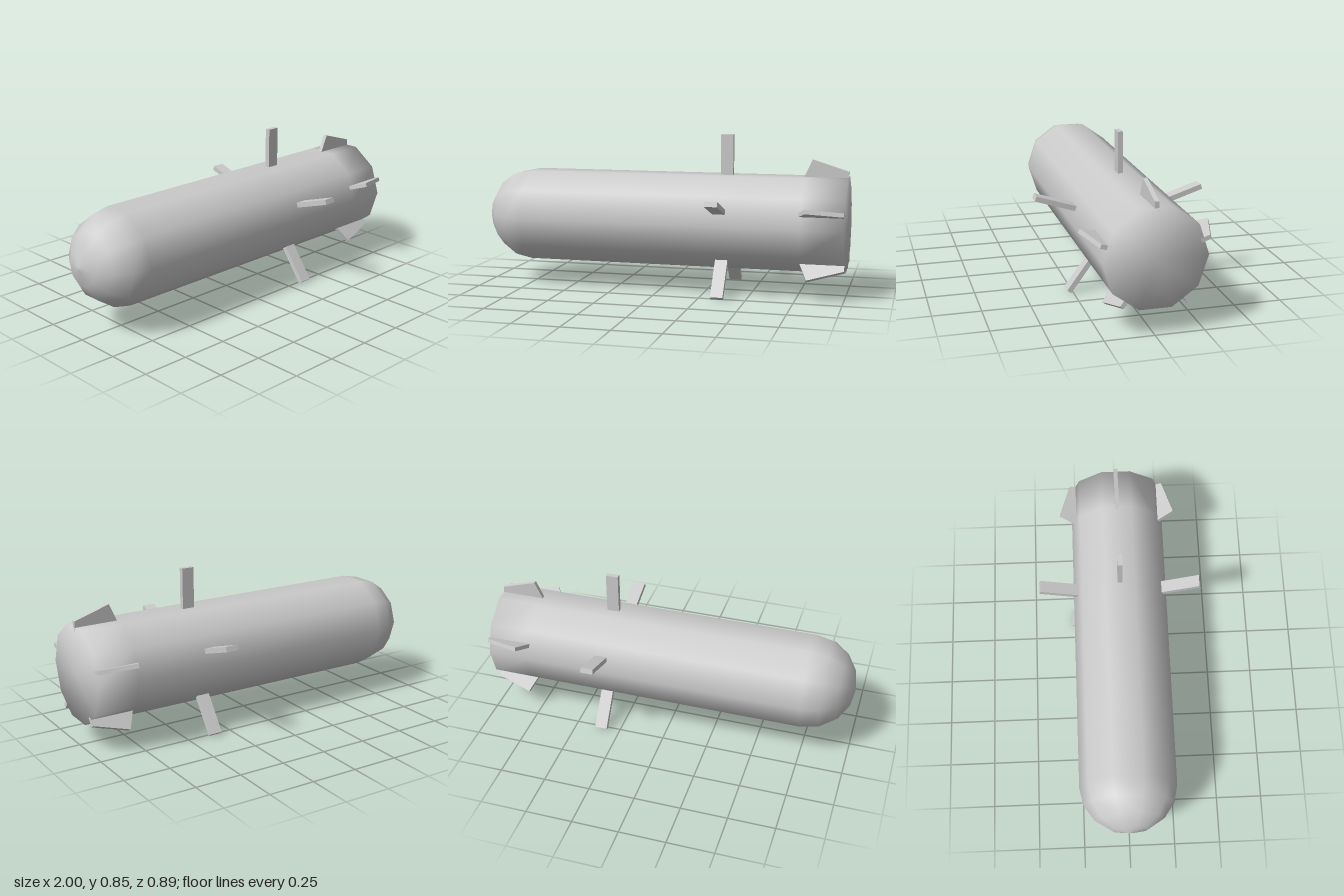
import * as THREE from 'three';

const AXIS_Y = 0.385; // height of the hull's long axis
const RADIUS = 0.26;
const SPOKES = 5;

export function createModel() {
  const model = new THREE.Group();
  model.name = 'torpedo';
  const material = new THREE.MeshStandardMaterial({ color: 0xcccccc });
  const finMaterial = new THREE.MeshStandardMaterial({ color: 0xcccccc, flatShading: true });

  // Ten-sided hull: rounded nose at -x, straight body, flat tail at +x
  const profile = [];
  for (let i = 0; i <= 4; i++) {
    const a = (i / 4) * Math.PI / 2;
    profile.push(new THREE.Vector2(RADIUS * Math.sin(a), -0.75 - 0.25 * Math.cos(a)));
  }
  for (const x of [0.32, 0.385, 0.78, 1]) profile.push(new THREE.Vector2(RADIUS, x));
  profile.push(new THREE.Vector2(0, 1));
  const hullGeometry = new THREE.LatheGeometry(profile, 10);
  hullGeometry.rotateZ(-Math.PI / 2);
  const hull = new THREE.Mesh(hullGeometry, material);
  hull.name = 'hull';
  hull.position.y = AXIS_Y;
  model.add(hull);

  // Straight blade, standing radially on a flat of the hull
  const bladeGeometry = new THREE.BoxGeometry(0.067, 0.235, 0.027);
  bladeGeometry.translate(0.3525, 0.3475, 0);

  // Swept tail fin, tallest near its leading edge
  const finShape = new THREE.Shape([
    [0.76, 0.23], [0.81, 0.34], [1, 0.28], [1, 0.23],
  ].map(([x, y]) => new THREE.Vector2(x, y)));
  const finGeometry = new THREE.ExtrudeGeometry(finShape, { depth: 0.022, bevelEnabled: false });
  finGeometry.translate(0, 0, -0.011);

  // Five blades and five tail fins share the same angles
  for (let i = 0; i < SPOKES; i++) {
    const spoke = new THREE.Group();
    spoke.name = `finPair${i + 1}`;
    spoke.position.y = AXIS_Y;
    spoke.rotation.x = (i * 2 * Math.PI) / SPOKES;
    const blade = new THREE.Mesh(bladeGeometry, finMaterial);
    blade.name = 'blade';
    const tailFin = new THREE.Mesh(finGeometry, finMaterial);
    tailFin.name = 'tailFin';
    spoke.add(blade, tailFin);
    model.add(spoke);
  }
  return model;
}
